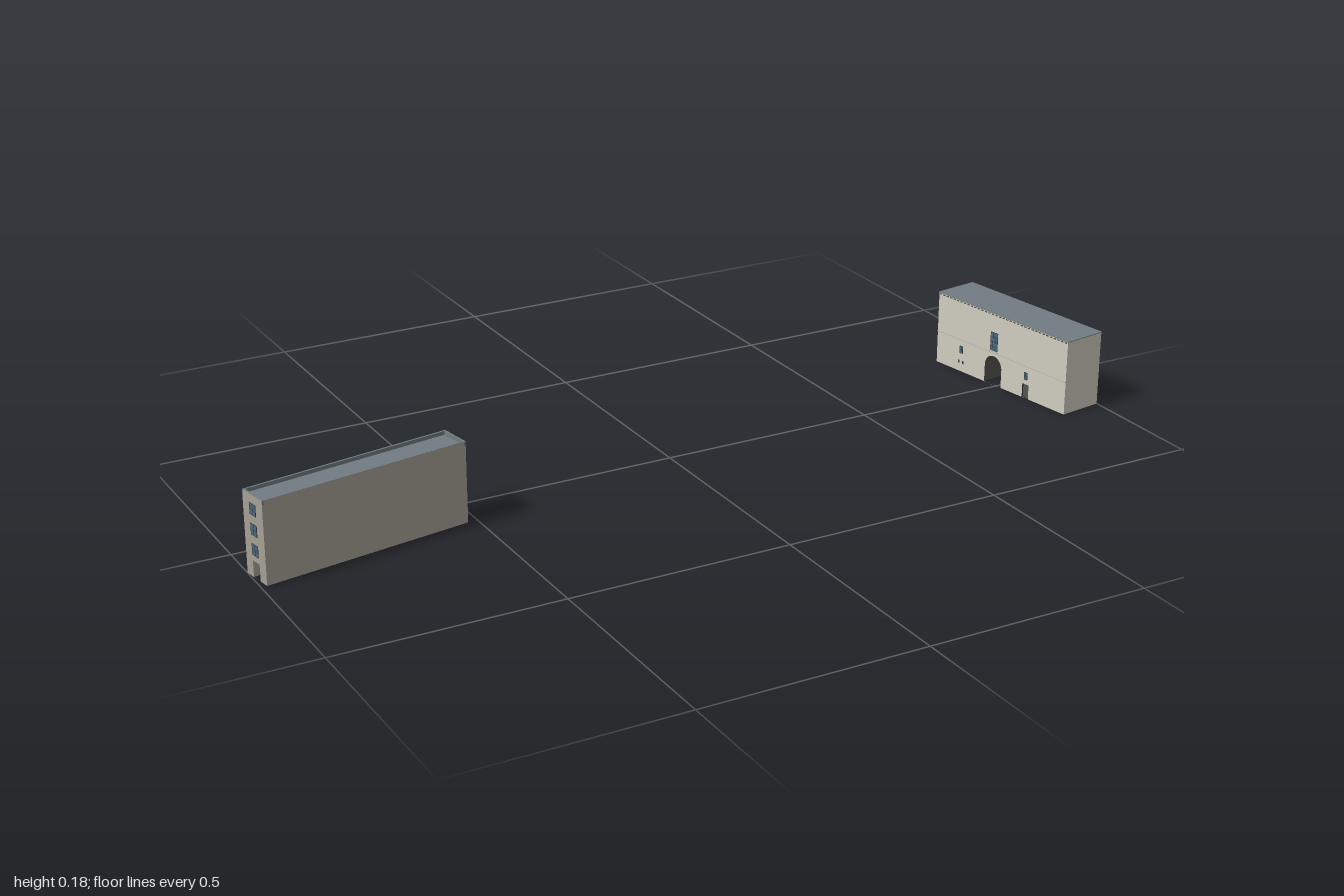
import * as THREE from 'three';

const mat = (color) => new THREE.MeshStandardMaterial({ color, side: THREE.DoubleSide });
const stone = mat(0xd0ccbf), darkStone = mat(0xa6a195), trim = mat(0xbdb8aa);
const slate = mat(0x717c82), glass = mat(0x4a6a80), iron = mat(0x3a3c3e), shade = mat(0x55554f);

function add(parent, name, geo, m, x = 0, y = 0, z = 0) {
  const mesh = new THREE.Mesh(geo, m);
  mesh.name = name;
  mesh.position.set(x, y, z);
  parent.add(mesh);
  return mesh;
}
const box = (parent, name, m, w, h, d, x, y, z) => add(parent, name, new THREE.BoxGeometry(w, h, d), m, x, y, z);

// Flat wall in the XY plane, standing on y = 0, with openings cut out
function wallGeo(w, h, holes = []) {
  const s = new THREE.Shape();
  s.moveTo(-w / 2, 0).lineTo(w / 2, 0).lineTo(w / 2, h).lineTo(-w / 2, h).closePath();
  s.holes.push(...holes);
  return new THREE.ShapeGeometry(s, 16);
}

// Opening outline: straight sides, with a round head when arched
function opening(cx, w, h, arched) {
  const p = new THREE.Path(), r = w / 2, y0 = 0.0003;
  p.moveTo(cx - r, y0);
  p.lineTo(cx - r, arched ? h - r : h);
  if (arched) p.absarc(cx, h - r, r, Math.PI, 0, true);
  else p.lineTo(cx + r, h);
  p.lineTo(cx + r, y0);
  p.closePath();
  return p;
}

// Glazed window with frame and bars, facing +z
function windowUnit(parent, name, w, h, x, y, columns, rows) {
  const g = new THREE.Group();
  g.name = name;
  g.position.set(x, y, 0);
  parent.add(g);
  box(g, 'pane', glass, w, h, 0.0016, 0, 0, 0);
  for (let i = 0; i <= columns; i++) box(g, 'mullion', iron, 0.0008, h, 0.0026, -w / 2 + (w * i) / columns, 0, 0);
  for (let i = 0; i <= rows; i++) box(g, 'glazingBar', iron, w, 0.0008, 0.0026, 0, -h / 2 + (h * i) / rows, 0);
  return g;
}

const GATE_W = 0.054, GATE_H = 0.07, R = GATE_W / 2, SPRING = GATE_H - R;

// Long facade with gate, facing +z; gateX places the gate and its windows
function facade(L, H, gateX, hasDoor) {
  const g = new THREE.Group();
  g.name = hasDoor ? 'rearFacade' : 'gateFacade';
  const doorX = gateX + 0.106;
  const holes = [opening(gateX, GATE_W, GATE_H, true)];
  if (hasDoor) holes.push(opening(doorX, 0.02, 0.034, false));
  add(g, 'facadeWall', wallGeo(L, H, holes), stone);

  // Main window with pediment and sill
  windowUnit(g, 'mainWindow', 0.022, 0.044, gateX, 0.106, 3, 4);
  const tri = new THREE.Shape();
  tri.moveTo(-0.014, 0).lineTo(0.014, 0).lineTo(0, 0.01).closePath();
  add(g, 'pediment', new THREE.ExtrudeGeometry(tri, { depth: 0.002, bevelEnabled: false }), stone, gateX, 0.131, 0);
  box(g, 'sill', trim, 0.027, 0.002, 0.004, gateX, 0.082, 0.001);

  // Small windows and vents either side of the gate
  for (const s of [-1, 1]) {
    const x = gateX + s * 0.106;
    windowUnit(g, 'sideWindow', 0.009, 0.017, x, 0.054, 2, 2);
    if (hasDoor && s > 0) box(g, 'doorLeaf', shade, 0.02, 0.034, 0.001, x, 0.017, -0.004);
    else for (const k of [-1, 1]) box(g, 'vent', iron, 0.004, 0.007, 0.0016, x + k * 0.0065, 0.0235, 0);
  }

  // String course, split around the window above the gate, and a dentil row
  box(g, 'stringCourse', trim, L, 0.0016, 0.002, 0, 0.078, 0.0005);
  const n = 36;
  for (let i = 0; i < n; i++) box(g, 'dentil', shade, L / n / 2, 0.002, 0.002, -L / 2 + (L * (i + 0.5)) / n, H - 0.003, 0.0008);
  return g;
}

function gatehouse() {
  const L = 0.417, W = 0.106, H = 0.174, gz = -0.021;
  const g = new THREE.Group();
  g.name = 'gatehouse';

  const front = facade(L, H, -gz, false);
  front.rotation.y = Math.PI / 2;
  front.position.x = W / 2;
  const rear = facade(L, H, gz, true);
  rear.rotation.y = -Math.PI / 2;
  rear.position.x = -W / 2;
  g.add(front, rear);
  for (const s of [-1, 1]) add(g, 'endWall', wallGeo(W, H), stone, 0, 0, s * L / 2);
  box(g, 'roof', slate, W + 0.002, 0.0016, L + 0.002, 0, H + 0.0002, 0);

  // Vaulted passage through the building
  for (const s of [-1, 1]) {
    add(g, 'passageWall', new THREE.PlaneGeometry(W, SPRING), shade, 0, SPRING / 2, gz + s * R);
  }
  const vault = new THREE.CylinderGeometry(R, R, W, 20, 1, true, 0, Math.PI);
  vault.rotateZ(Math.PI / 2);
  // Turn the half cylinder so that its crown points up
  vault.computeBoundingBox();
  if (vault.boundingBox.max.y < R / 2) vault.rotateX(Math.PI);
  add(g, 'passageVault', vault, shade, 0, SPRING, gz);

  // Iron gate: upright bars reaching the arch, and two rails
  const bars = 9;
  for (let i = 1; i < bars; i++) {
    const dz = -R + (GATE_W * i) / bars;
    const top = SPRING + Math.sqrt(R * R - dz * dz);
    box(g, 'gateBar', iron, 0.001, top - 0.005, 0.001, W / 2 - 0.006, (top + 0.005) / 2, gz + dz);
  }
  for (const y of [0.006, 0.032]) box(g, 'gateRail', iron, 0.001, 0.0012, GATE_W, W / 2 - 0.006, y, gz);
  return g;
}

function longBlock() {
  const L = 0.472, W = 0.075, H = 0.181, roofY = 0.172, inset = 0.004, doorW = 0.026, doorH = 0.036;
  const g = new THREE.Group();
  g.name = 'longBlock';
  for (const s of [-1, 1]) {
    add(g, 'longWall', wallGeo(L, H), darkStone, 0, 0, s * W / 2);
    // Parapet: inner face and coping
    box(g, 'parapet', slate, L, H - roofY, inset, 0, (H + roofY) / 2, s * (W - inset - 0.0006) / 2);
    box(g, 'endParapet', slate, inset, H - roofY, W, s * (L - inset - 0.0006) / 2, (H + roofY) / 2, 0);
  }
  box(g, 'roof', slate, L - 0.001, 0.0016, W - 0.001, 0, roofY, 0);
  add(g, 'plainEnd', wallGeo(W, H), darkStone, L / 2, 0, 0).rotation.y = Math.PI / 2;

  // Entrance end with a column of windows over a recessed doorway
  const end = new THREE.Group();
  end.name = 'entranceEnd';
  end.rotation.y = -Math.PI / 2;
  end.position.x = -L / 2;
  g.add(end);
  add(end, 'entranceWall', wallGeo(W, H, [opening(0, doorW, doorH, false)]), darkStone);
  for (const y of [0.062, 0.106, 0.15]) windowUnit(end, 'endWindow', 0.022, 0.024, 0, y, 2, 2);
  const depth = 0.026;
  for (const s of [-1, 1]) {
    add(end, 'recessSide', new THREE.PlaneGeometry(depth, doorH), darkStone, s * doorW / 2, doorH / 2, -depth / 2).rotation.y = Math.PI / 2;
  }
  add(end, 'recessCeiling', new THREE.PlaneGeometry(doorW, depth), darkStone, 0, doorH, -depth / 2).rotation.x = Math.PI / 2;
  box(end, 'door', shade, doorW, doorH, 0.001, 0, doorH / 2, -depth);
  return g;
}

export function createModel() {
  const model = new THREE.Group();
  model.name = 'twoBuildings';
  const gate = gatehouse();
  gate.position.set(0.915, 0, 0.001);
  gate.rotation.y = 0.153;
  const block = longBlock();
  block.position.set(-0.7605, 0, 0.092);
  block.rotation.y = 0.165;
  model.add(gate, block);
  return model;
}
